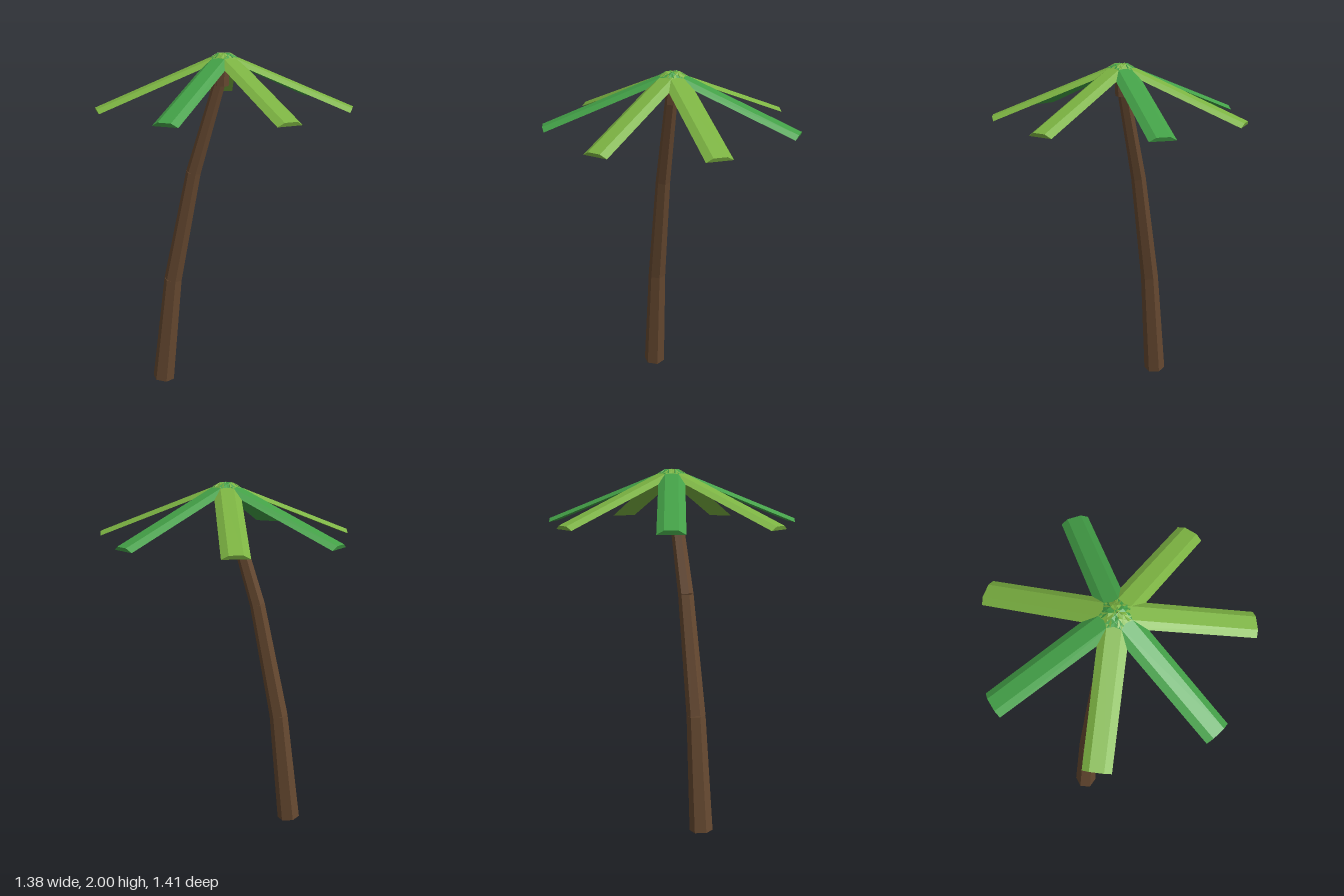
import * as THREE from 'three';

const mat = (name, color) => {
  const m = new THREE.MeshStandardMaterial({ color, flatShading: true });
  m.name = name;
  return m;
};

export function createModel() {
  const bark = mat('bark brown', 0x654830);
  const lightLeaf = mat('light leaf green', 0x7cb342);
  const darkLeaf = mat('deep leaf green', 0x43a047);

  const palm = new THREE.Group();
  palm.name = 'palmTree';

  // Six-sided tapering post from a to b
  const post = (name, a, b, r0, r1) => {
    const dir = b.clone().sub(a);
    const g = new THREE.CylinderGeometry(r1, r0, dir.length(), 6, 1, false, Math.PI / 2);
    const m = new THREE.Mesh(g, bark);
    m.name = name;
    m.position.copy(a).add(b).multiplyScalar(0.5);
    m.quaternion.setFromUnitVectors(new THREE.Vector3(0, 1, 0), dir.normalize());
    palm.add(m);
  };

  // Leaning trunk: x, y, radius at each joint
  const joints = [
    [-0.41, 0.007, 0.065],
    [-0.338, 0.66, 0.053],
    [-0.205, 1.32, 0.043],
    [-0.038, 1.88, 0.034],
  ];
  for (let i = 0; i < 3; i++) {
    const [x0, y0, r0] = joints[i];
    const [x1, y1, r1] = joints[i + 1];
    post('trunkSegment' + (i + 1), new THREE.Vector3(x0, y0, 0), new THREE.Vector3(x1, y1, 0), r0, r1);
  }
  // Short knob where the fronds meet the trunk
  post('crownKnob', new THREE.Vector3(-0.038, 1.82, 0), new THREE.Vector3(-0.034, 1.95, 0), 0.04, 0.04);

  // Frond: flat-bottomed, arched strip that slopes down from the crown
  const w = 0.073, h = 0.0255, reach = 0.705, drop = 0.279;
  const section = new THREE.Shape();
  section.moveTo(-w, 0);
  for (let k = 1; k <= 3; k++) {
    const a = Math.PI * (1 - k / 3);
    section.lineTo(w * Math.cos(a), h * Math.sin(a));
  }
  section.closePath();
  const frondGeo = new THREE.ExtrudeGeometry(section, {
    depth: Math.hypot(reach, drop), bevelEnabled: false,
  });
  frondGeo.rotateX(Math.atan2(drop, reach));

  const fronds = new THREE.Group();
  fronds.name = 'fronds';
  fronds.position.set(-0.025, 1.979, 0);
  for (let i = 0; i < 7; i++) {
    const f = new THREE.Mesh(frondGeo, i % 2 ? darkLeaf : lightLeaf);
    f.name = 'frond' + (i + 1);
    f.rotation.y = Math.PI / 2 + (i * Math.PI * 2) / 7;
    fronds.add(f);
  }
  palm.add(fronds);
  return palm;
}
